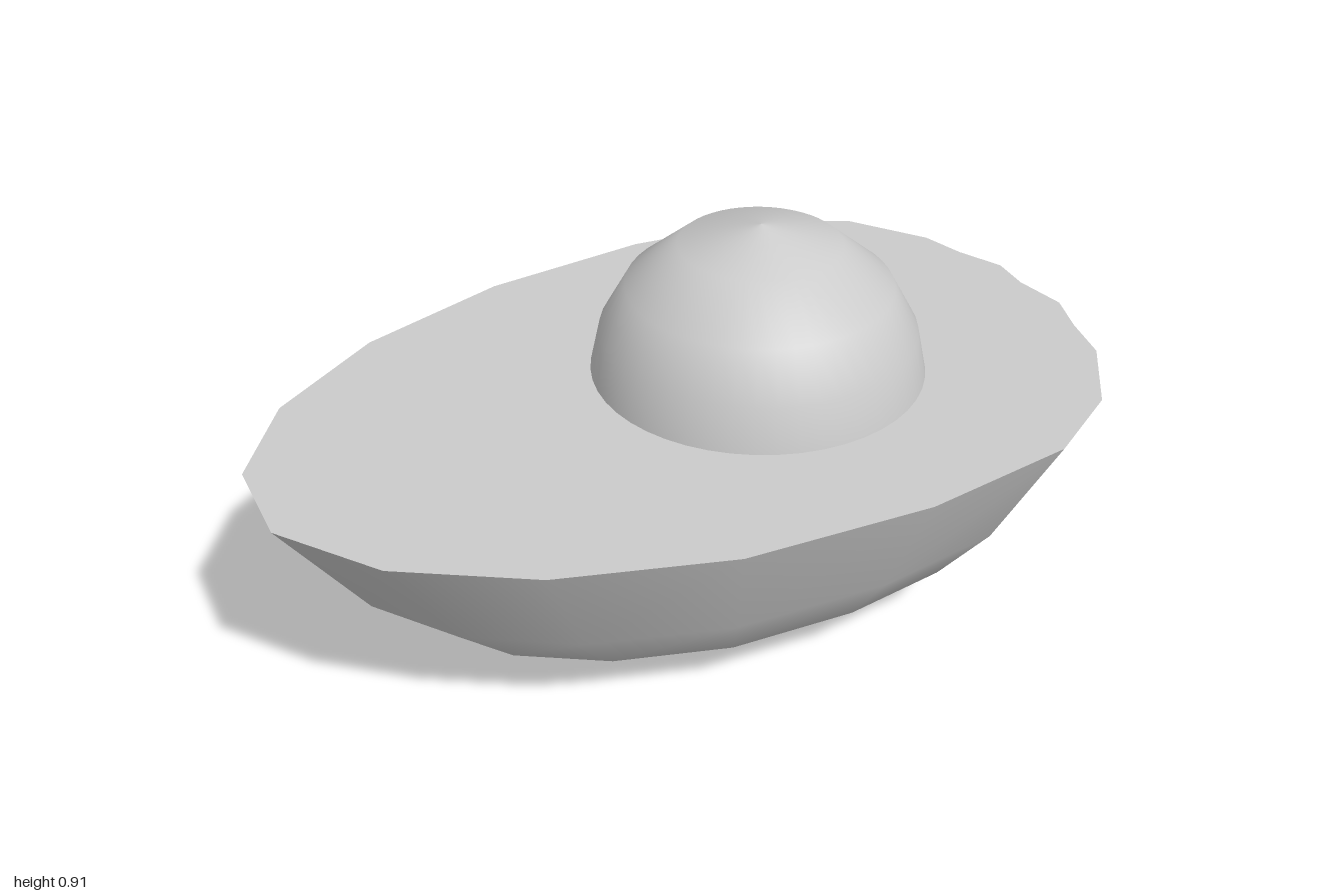
import * as THREE from 'three';

// Rim outline as [x, z], clockwise seen from above
const RIM = [
  [-1, -0.09], [-0.86, -0.31], [-0.59, -0.5], [-0.22, -0.63], [0.2, -0.68],
  [0.56, -0.65], [0.78, -0.54], [0.91, -0.36], [0.94, -0.25], [0.99, -0.14],
  [0.98, -0.04], [1, 0.09], [0.96, 0.2], [0.93, 0.32], [0.8, 0.5], [0.6, 0.62],
  [0.23, 0.67], [-0.2, 0.645], [-0.57, 0.53], [-0.84, 0.36], [-1, 0.14],
];
// Skin rings as [scale of the rim, height], from the rim down
const RINGS = [[1, 0.555], [0.83, 0.28], [0.69, 0.14], [0.567, 0.07], [0.325, 0]];
const CENTRE_X = 0.096;
const TOP = 0.555;

// Tapering shell: the rim outline shrunk towards the centre, closed underneath
function skinGeometry() {
  const n = RIM.length, pos = [], index = [];
  for (const [s, y] of RINGS) {
    for (const [x, z] of RIM) pos.push(CENTRE_X + (x - CENTRE_X) * s, y, z * s);
  }
  const bottom = pos.length / 3;
  pos.push(CENTRE_X, 0, 0);
  for (let r = 0; r < RINGS.length; r++) {
    for (let i = 0; i < n; i++) {
      const a = r * n + i, b = r * n + (i + 1) % n;
      if (r === RINGS.length - 1) index.push(a, b, bottom);
      else index.push(a, b, b + n, a, b + n, a + n);
    }
  }
  const geo = new THREE.BufferGeometry();
  geo.setAttribute('position', new THREE.Float32BufferAttribute(pos, 3));
  geo.setIndex(index);
  geo.computeVertexNormals();
  return geo;
}

export function createModel() {
  const group = new THREE.Group();
  const material = new THREE.MeshStandardMaterial({ color: 0xcccccc });
  const add = (name, geometry) => {
    const mesh = new THREE.Mesh(geometry, material);
    mesh.name = name;
    group.add(mesh);
    return mesh;
  };

  // Outer skin of the halved fruit
  add('skin', skinGeometry());

  // Flat cut face
  const outline = new THREE.Shape(RIM.map(([x, z]) => new THREE.Vector2(x, -z)));
  add('cutFace', new THREE.ShapeGeometry(outline).rotateX(-Math.PI / 2)).position.y = TOP;

  // Domed stone standing out of the cut face
  const profile = [[0.39, TOP], [0.367, 0.66], [0.307, 0.767], [0.187, 0.865], [0, 0.912]];
  const dome = new THREE.LatheGeometry(profile.map(([r, y]) => new THREE.Vector2(r, y)), 48);
  add('stone', dome).position.x = 0.19;

  return group;
}
